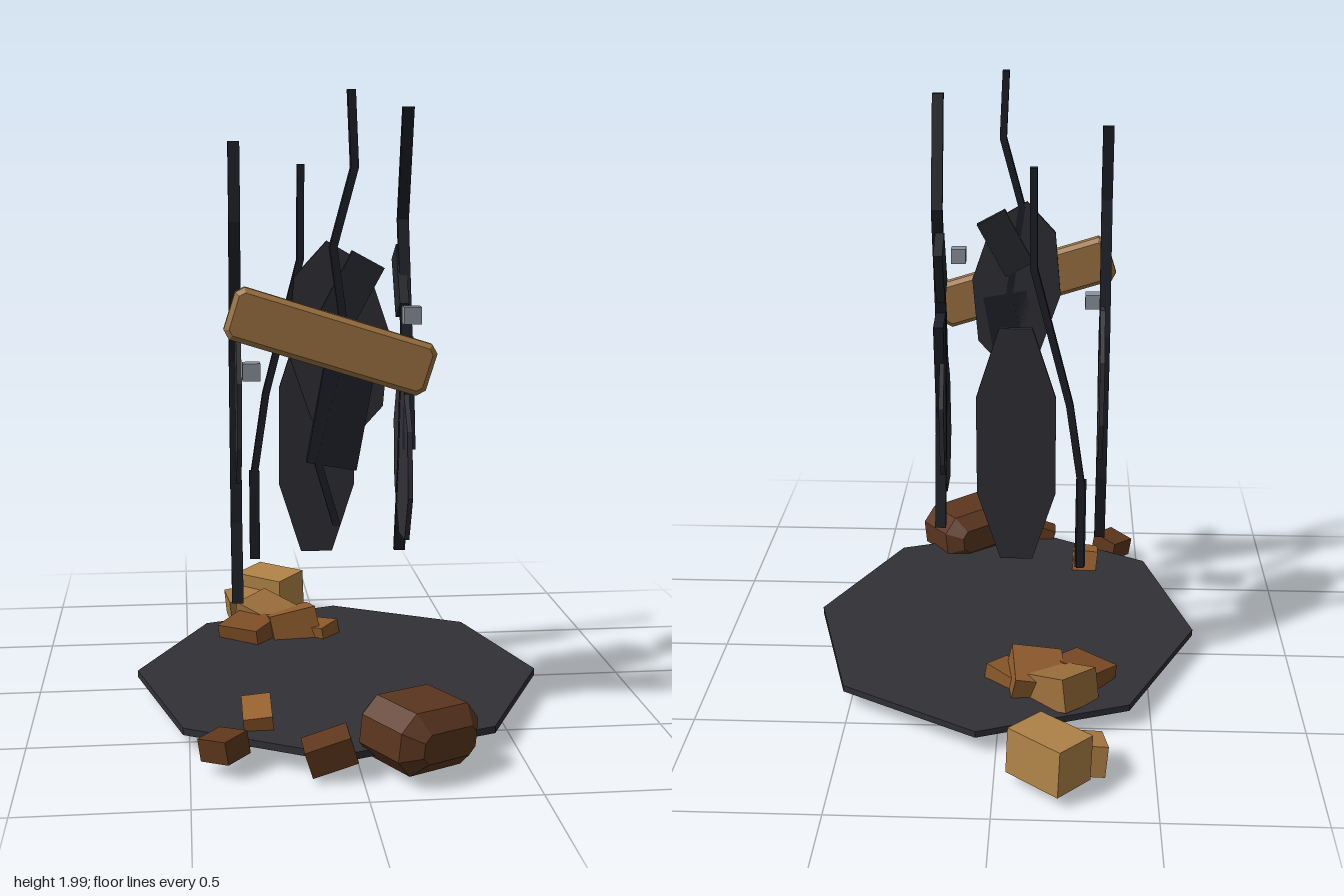
import * as THREE from 'three';

const DARK = 0x1c1f26, SLATE = 0x303036;

function add(parent, name, geometry, color, pos = [0, 0, 0], rot = [0, 0, 0]) {
  const mat = new THREE.MeshStandardMaterial({ color, flatShading: true });
  const mesh = new THREE.Mesh(geometry, mat);
  mesh.name = name;
  mesh.position.set(...pos);
  mesh.rotation.set(...rot);
  parent.add(mesh);
  return mesh;
}

// Flat slab from an outline, centred on its thickness
function slab(points, thickness) {
  const shape = new THREE.Shape(points.map(([x, y]) => new THREE.Vector2(x, y)));
  const g = new THREE.ExtrudeGeometry(shape, { depth: thickness, bevelEnabled: false });
  return g.translate(0, 0, -thickness / 2);
}

// Stretched octagon spanned by two conjugate radii
function octagon(a, b) {
  return Array.from({ length: 8 }, (_, i) => {
    const c = Math.cos(i * Math.PI / 4), s = Math.sin(i * Math.PI / 4);
    return [a[0] * c + b[0] * s, a[1] * c + b[1] * s];
  });
}

// Bent strip following a path from top to bottom
function rod(path, width, depth) {
  const left = path.map(([x, y]) => [x - width / 2, y]);
  const right = path.map(([x, y]) => [x + width / 2, y]).reverse();
  return slab([...left, ...right], depth);
}

// Box with chamfered edges all round
function chamferBox(w, h, d, c) {
  const x = w / 2 - c, y = h / 2 - c, k = Math.min(c, x * 0.5, y * 0.5);
  const shape = new THREE.Shape([
    [-x + k, -y], [x - k, -y], [x, -y + k], [x, y - k],
    [x - k, y], [-x + k, y], [-x, y - k], [-x, -y + k],
  ].map(p => new THREE.Vector2(...p)));
  const g = new THREE.ExtrudeGeometry(shape, {
    depth: d - 2 * c, bevelEnabled: true, bevelSegments: 1, bevelSize: c, bevelThickness: c,
  });
  return g.translate(0, 0, -(d - 2 * c) / 2);
}

export function createModel() {
  const model = new THREE.Group();
  model.name = 'hangingRuin';

  // Ground slab
  add(model, 'groundSlab', slab(octagon([0.065, 0.7475], [0.67, -0.0575]), 0.022), SLATE,
    [0, 0.074, 0.0925], [-Math.PI / 2, 0, 0]);

  // Four strands, each drawn in its own upright plane
  const strands = [
    { name: 'frontStrand', pos: [0, 0, 0.418], turn: 0, plates: [0.013, -0.018],
      path: [[0.01, 2], [0.02, 1.77], [-0.045, 1.53], [0.0, 1.2], [-0.09, 0.86], [-0.035, 0.67]],
      oct: [[-0.027, 1.24], [-0.137, 0.2], [-0.085, -0.238]] },
    { name: 'leftStrand', pos: [0.2225, 0, 0], turn: Math.PI / 2, plates: [-0.06, -0.143],
      path: [[-0.16, 1.96], [-0.053, 1.6], [-0.153, 1.22], [-0.1, 0.8], [-0.02, 0.48]],
      oct: [[-0.158, 0.825], [-0.143, 0.111], [-0.095, -0.254]] },
    { name: 'rightStrand', pos: [-0.336, 0, 0], turn: Math.PI / 2, octSide: 1,
      path: [[-0.2, 1.85], [-0.22, 1.6], [-0.13, 1.15], [-0.155, 0.62], [-0.21, 0.365]],
      oct: [[-0.116, 0.995], [0.143, 0.111], [0.095, -0.254]] },
    { name: 'backStrand', pos: [0, 0, -0.146], turn: 0, octSide: 1,
      path: [[-0.098, 1.78], [-0.1, 1.46], [-0.22, 1.0], [-0.262, 0.72], [-0.262, 0.42]],
      oct: [[-0.045, 0.85], [-0.056, -0.407], [0.13, -0.169]] },
  ];
  for (const s of strands) {
    const g = new THREE.Group();
    g.name = s.name;
    g.position.set(...s.pos);
    g.rotation.y = s.turn;
    model.add(g);
    add(g, 'bentRod', rod(s.path, 0.024, 0.037), DARK);
    const [c, a, b] = s.oct;
    add(g, 'stonePlate', slab(octagon(a, b), 0.016), SLATE, [...c, 0.009 * (s.octSide ?? -1)]);
    if (s.plates) {
      add(g, 'upperPlate', new THREE.BoxGeometry(0.112, 0.212, 0.03), 0x24262c,
        [s.plates[0], 1.4, -0.008], [0, 0, -0.5]);
      add(g, 'lowerPlate', new THREE.BoxGeometry(0.157, 0.365, 0.034), DARK,
        [s.plates[1], 1.035, 0], [0, 0, -0.18]);
    }
  }
  // Thicker foot of the back strand
  add(model, 'rodFoot', new THREE.BoxGeometry(0.034, 0.31, 0.03), DARK, [-0.262, 0.575, -0.142]);

  // Tilted sign board with two fixings
  add(model, 'board', chamferBox(0.645, 0.165, 0.06, 0.015), 0x9e7342,
    [-0.055, 1.247, 0.455], [0, 0, -0.305]);
  for (const [x, y] of [[-0.3, 1.165], [0.185, 1.33]])
    add(model, 'fixing', new THREE.BoxGeometry(0.053, 0.053, 0.05), 0x8c939c, [x, y, 0.503]);

  // Large boulder
  add(model, 'boulder', chamferBox(0.31, 0.19, 0.27, 0.05), 0x5c3620,
    [0.173, 0.13, 0.777], [0.08, 0.6, -0.12]);

  // Scattered blocks: size, position, rotation, colour
  const blocks = [
    [[0.21, 0.15, 0.155], [-0.17, 0.112, -0.81], [0.1, -0.7, 0.05], 0xb08347],
    [[0.15, 0.1, 0.12], [-0.265, 0.075, -0.745], [0.15, 0.15, 0.1], 0xa87a42],
    [[0.17, 0.11, 0.14], [-0.275, 0.09, -0.31], [0.2, -0.65, 0.15], 0x7d4c26],
    [[0.19, 0.11, 0.16], [-0.2, 0.115, -0.42], [0.15, -0.75, -0.15], 0x9c6f3c],
    [[0.17, 0.11, 0.18], [-0.12, 0.11, -0.355], [-0.2, 0.1, 0.2], 0x905c2e],
    [[0.12, 0.09, 0.1], [-0.025, 0.08, -0.32], [0.15, -0.7, 0.2], 0x8a5829],
    [[0.09, 0.1, 0.13], [-0.29, 0.095, 0.56], [0.25, 0, 0.1], 0x9a622f],
    [[0.11, 0.07, 0.1], [-0.4, 0.085, 0.735], [0.1, -0.75, 0.2], 0x5e371c],
    [[0.14, 0.085, 0.1], [-0.095, 0.09, 0.815], [0.1, 0.03, 0.3], 0x5e371c],
  ];
  for (const [size, pos, rot, color] of blocks)
    add(model, 'block', new THREE.BoxGeometry(...size), color, pos, rot);

  return model;
}
